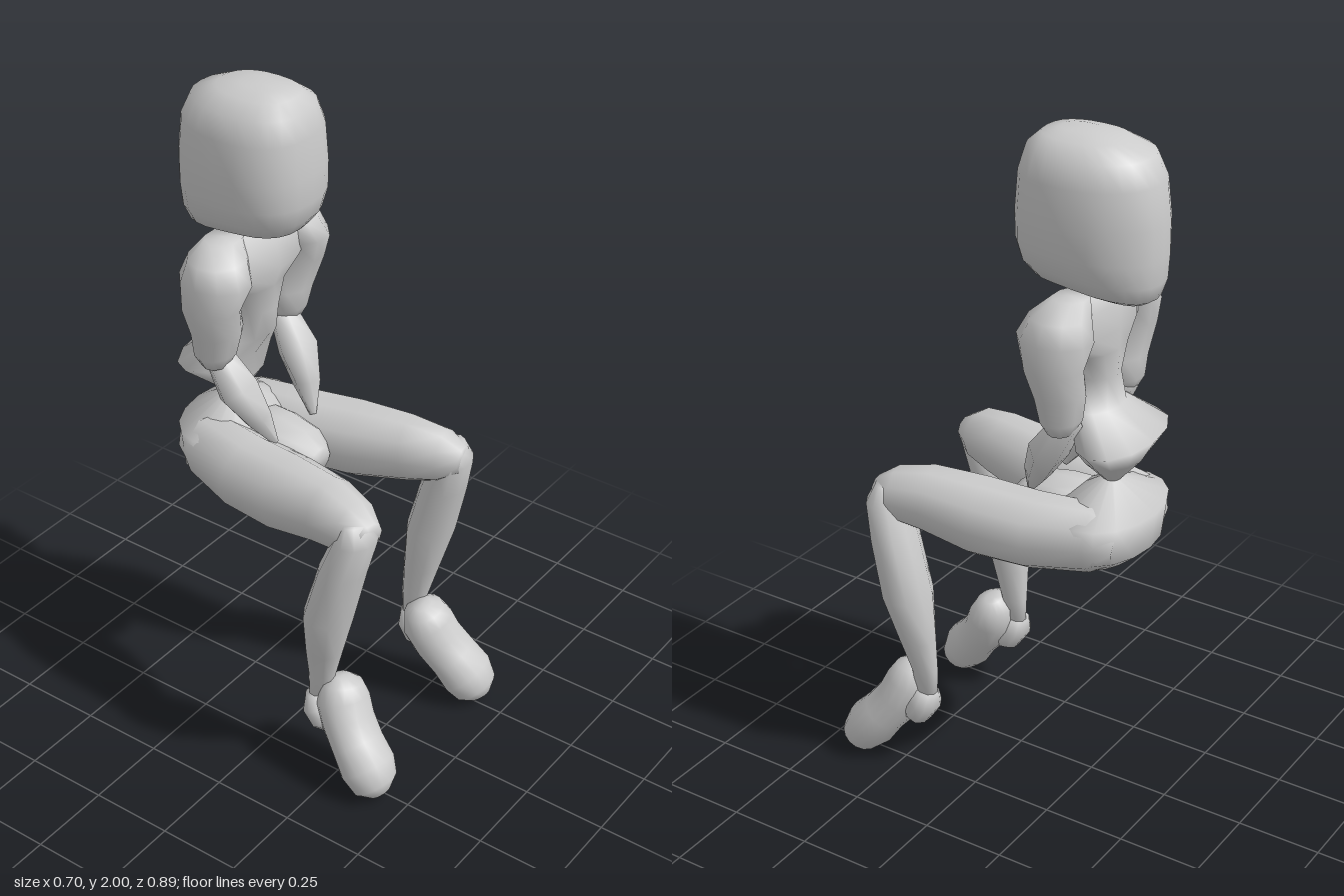
import * as THREE from 'three';

const skin = new THREE.MeshStandardMaterial({ color: 0xcccccc });
skin.name = 'light grey';

// Lofts a closed skin over rings [x, y, z, halfWidth, halfDepth].
// n is the superellipse power of each ring; axis fixes the ring normal.
function loft(name, rings, { sides = 12, n = 2, axis = null, mirror = 1 } = {}) {
  const centres = rings.map(r => new THREE.Vector3(r[0] * mirror, r[1], r[2]));
  const pos = [], index = [], last = rings.length - 1;
  const soft = v => Math.sign(v) * Math.pow(Math.abs(v), 2 / n);
  rings.forEach((r, i) => {
    const t = axis ? axis.clone() : centres[Math.min(i + 1, last)].clone().sub(centres[Math.max(i - 1, 0)]);
    t.normalize();
    const u = new THREE.Vector3(1, 0, 0).addScaledVector(t, -t.x).normalize();
    const v = t.clone().cross(u);
    for (let j = 0; j < sides; j++) {
      const a = (j / sides) * Math.PI * 2;
      const p = centres[i].clone()
        .addScaledVector(u, soft(Math.cos(a)) * r[3])
        .addScaledVector(v, soft(Math.sin(a)) * r[4]);
      pos.push(p.x, p.y, p.z);
    }
  });
  for (let i = 0; i < last; i++) {
    for (let j = 0; j < sides; j++) {
      const k = (j + 1) % sides;
      const a = i * sides + j, b = i * sides + k;
      index.push(a, b, a + sides, b, b + sides, a + sides);
    }
  }
  // End caps
  const start = rings.length * sides;
  pos.push(...centres[0].toArray(), ...centres[last].toArray());
  for (let j = 0; j < sides; j++) {
    const k = (j + 1) % sides;
    index.push(start, k, j, start + 1, last * sides + j, last * sides + k);
  }
  const g = new THREE.BufferGeometry();
  g.setAttribute('position', new THREE.Float32BufferAttribute(pos, 3));
  g.setIndex(index);
  g.computeVertexNormals();
  const mesh = new THREE.Mesh(g, skin);
  mesh.name = name;
  return mesh;
}

export function createModel() {
  const model = new THREE.Group();
  model.name = 'seatedMannequin';
  const down = new THREE.Vector3(0, -1, 0);

  // Head: rounded block, narrower and lower towards the back
  const head = loft('head', [
    [0, 2.0, -0.19, 0.04, 0.06],
    [0, 1.988, -0.2, 0.09, 0.12],
    [0, 1.955, -0.22, 0.14, 0.175],
    [0, 1.89, -0.227, 0.167, 0.199],
    [0, 1.78, -0.23, 0.174, 0.21],
    [0, 1.7, -0.225, 0.17, 0.204],
    [0, 1.645, -0.225, 0.155, 0.19],
    [0, 1.605, -0.23, 0.125, 0.165],
    [0, 1.585, -0.235, 0.08, 0.13],
  ], { sides: 24, n: 2.5, axis: down });
  const hp = head.geometry.attributes.position;
  for (let i = 0; i < hp.count; i++) {
    const back = THREE.MathUtils.clamp((-0.2 - hp.getZ(i)) / 0.24, 0, 1);
    const low = THREE.MathUtils.clamp((1.75 - hp.getY(i)) / 0.17, 0, 1);
    hp.setX(i, hp.getX(i) * (1 - 0.25 * back * back));
    hp.setY(i, hp.getY(i) - 0.05 * back * low);
    hp.setZ(i, hp.getZ(i) - 0.04 * back * low);
  }
  head.geometry.computeVertexNormals();
  model.add(head);

  model.add(loft('neck', [
    [0, 1.62, -0.24, 0.06, 0.06],
    [0, 1.54, -0.23, 0.08, 0.07],
  ], { axis: down }));

  // Torso: broad shoulders, thin waist, flared base pinched to a point
  model.add(loft('torso', [
    [0, 1.575, -0.235, 0.15, 0.055],
    [0, 1.54, -0.23, 0.21, 0.085],
    [0, 1.46, -0.225, 0.21, 0.092],
    [0, 1.4, -0.235, 0.12, 0.08],
    [0, 1.32, -0.235, 0.075, 0.075],
    [0, 1.23, -0.25, 0.1, 0.07],
    [0, 1.15, -0.33, 0.19, 0.1],
    [0, 1.08, -0.31, 0.11, 0.08],
    [0, 1.0, -0.3, 0.02, 0.02],
  ], { axis: down }));

  // Pelvis, with a plain rounded front
  model.add(loft('pelvis', [
    [0, 1.01, -0.3, 0.02, 0.02],
    [0, 0.93, -0.3, 0.205, 0.142],
    [0, 0.82, -0.3, 0.195, 0.128],
    [0, 0.76, -0.27, 0.12, 0.09],
  ], { axis: down, sides: 16 }));
  model.add(loft('pelvisFront', [
    [0, 0.87, -0.28, 0.12, 0.1],
    [0, 0.87, -0.14, 0.12, 0.095],
    [0, 0.87, -0.05, 0.1, 0.08],
    [0, 0.87, 0.0, 0.05, 0.04],
  ]));

  for (const mirror of [1, -1]) {
    const side = mirror > 0 ? 'left' : 'right';
    const add = (part, rings, opts = {}) => model.add(loft(side + part, rings, { sides: 10, mirror, ...opts }));

    // Arms bent forward, with tapered hands over the lap
    add('UpperArm', [
      [0.12, 1.58, -0.235, 0.06, 0.05],
      [0.16, 1.54, -0.225, 0.088, 0.085],
      [0.178, 1.48, -0.22, 0.09, 0.11],
      [0.195, 1.4, -0.225, 0.08, 0.085],
      [0.165, 1.31, -0.23, 0.08, 0.07],
      [0.165, 1.24, -0.235, 0.07, 0.057],
      [0.17, 1.2, -0.235, 0.04, 0.035],
    ], { axis: down });
    add('Forearm', [
      [0.15, 1.23, -0.25, 0.04, 0.04],
      [0.14, 1.12, -0.18, 0.07, 0.055],
      [0.115, 1.03, -0.13, 0.042, 0.04],
      [0.09, 0.95, -0.09, 0.01, 0.01],
    ], { sides: 6 });

    // Legs
    add('Thigh', [
      [0.1, 0.86, -0.38, 0.06, 0.06],
      [0.115, 0.87, -0.31, 0.095, 0.1],
      [0.148, 0.86, -0.14, 0.118, 0.11],
      [0.172, 0.867, 0.02, 0.115, 0.115],
      [0.195, 0.885, 0.18, 0.096, 0.1],
      [0.22, 0.885, 0.28, 0.08, 0.08],
      [0.23, 0.885, 0.34, 0.045, 0.04],
    ]);
    add('Shin', [
      [0.235, 0.925, 0.295, 0.05, 0.035],
      [0.238, 0.87, 0.298, 0.073, 0.06],
      [0.252, 0.76, 0.265, 0.08, 0.068],
      [0.258, 0.59, 0.222, 0.083, 0.072],
      [0.248, 0.44, 0.198, 0.055, 0.055],
      [0.24, 0.33, 0.182, 0.032, 0.042],
      [0.24, 0.26, 0.178, 0.03, 0.035],
    ], { axis: down });

    // Feet pointing down and forward
    add('Foot', [
      [0.205, 0.33, 0.235, 0.03, 0.025],
      [0.21, 0.31, 0.235, 0.064, 0.058],
      [0.22, 0.26, 0.245, 0.083, 0.075],
      [0.234, 0.2, 0.275, 0.083, 0.073],
      [0.25, 0.145, 0.32, 0.085, 0.07],
      [0.262, 0.09, 0.365, 0.089, 0.077],
      [0.268, 0.045, 0.398, 0.074, 0.062],
      [0.268, 0.02, 0.415, 0.035, 0.03],
    ], { sides: 16 });
    add('Heel', [
      [0.245, 0.265, 0.17, 0.035, 0.035],
      [0.245, 0.225, 0.178, 0.058, 0.045],
      [0.243, 0.185, 0.205, 0.055, 0.045],
      [0.24, 0.165, 0.235, 0.03, 0.03],
    ]);
  }
  return model;
}
